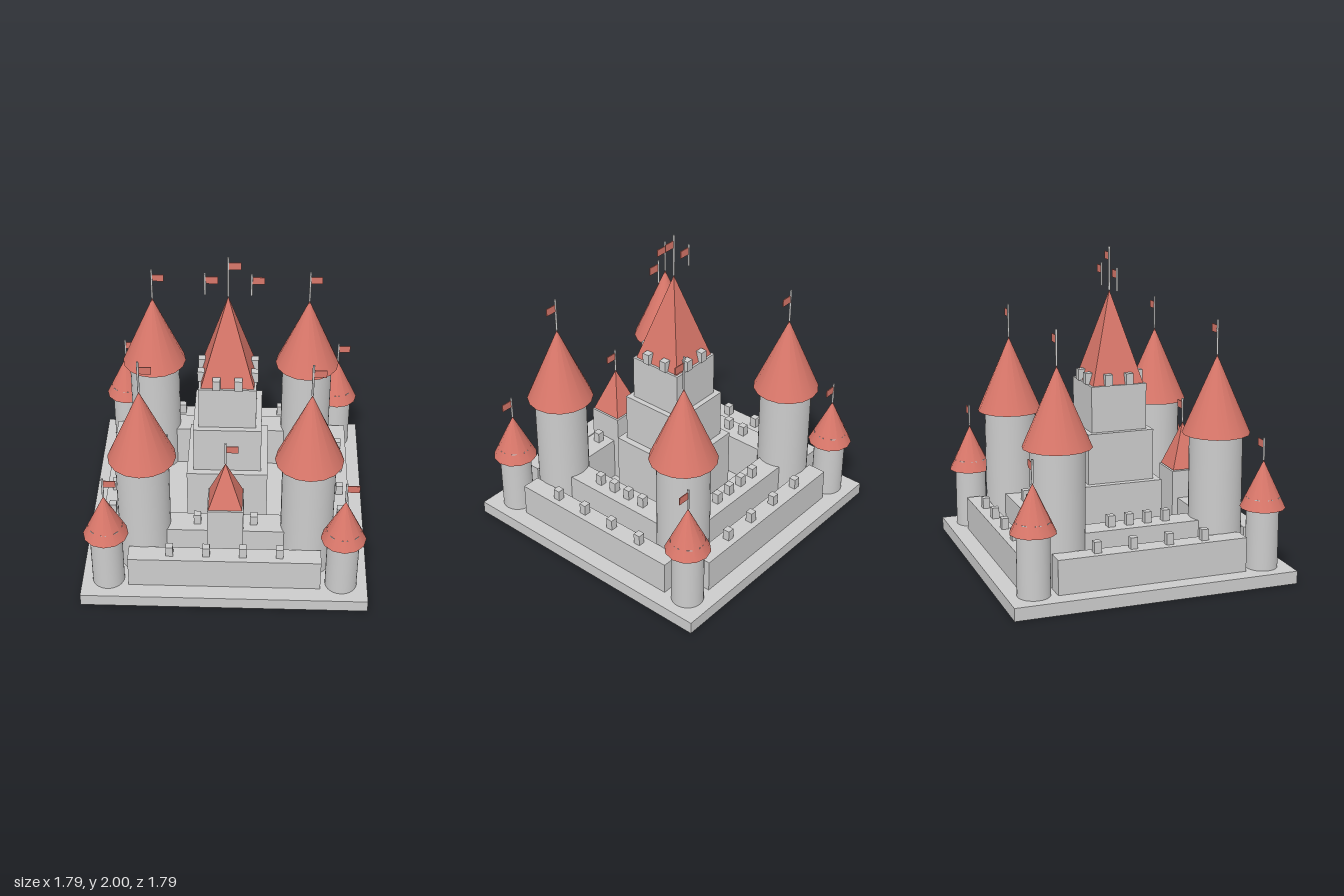
import * as THREE from 'three';

const stone = new THREE.MeshStandardMaterial({ color: 0xcccccc });
const red = new THREE.MeshStandardMaterial({ color: 0xd9776a });
const redFlat = new THREE.MeshStandardMaterial({ color: 0xd9776a, flatShading: true });

function add(parent, name, geometry, material, x, y, z) {
  const mesh = new THREE.Mesh(geometry, material);
  mesh.name = name;
  mesh.position.set(x, y, z);
  parent.add(mesh);
  return mesh;
}

// Box standing on y0 and reaching y1
function block(parent, name, w, d, y0, y1, x = 0, z = 0) {
  return add(parent, name, new THREE.BoxGeometry(w, y1 - y0, d), stone, x, (y0 + y1) / 2, z);
}

// Pole with a pennant pointing to +x
function flag(parent, x, z, y0, y1) {
  add(parent, 'flagPole', new THREE.CylinderGeometry(0.007, 0.007, y1 - y0, 8), stone, x, (y0 + y1) / 2, z);
  add(parent, 'flag', new THREE.BoxGeometry(0.075, 0.048, 0.006), red, x + 0.041, y1 - 0.06 * Math.min(1, (y1 - y0) / 0.2), z);
}

// Round tower with a conical roof and a ring of merlons hidden beneath its edge
function roundTower(parent, name, x, z, r, top, roofR, apex, flagTop, turn, sides) {
  const tower = new THREE.Group();
  tower.name = name;
  add(tower, 'towerShaft', new THREE.CylinderGeometry(r, r, top - 0.08, 32), stone, 0, (top + 0.08) / 2, 0);
  add(tower, 'towerRoof', new THREE.ConeGeometry(roofR, apex - top, sides), red, 0, (top + apex) / 2, 0);
  for (let i = 0; i < 8; i++) {
    const a = turn + i * Math.PI / 4;
    const m = block(tower, 'towerMerlon', 0.035, 0.035, top, top + 0.07, Math.sin(a) * (r - 0.012), Math.cos(a) * (r - 0.012));
    m.rotation.y = a;
  }
  flag(tower, 0, 0, apex, flagTop);
  tower.position.set(x, 0, z);
  parent.add(tower);
}

// Straight wall with merlons, turned to one of the four sides
function wall(parent, name, side, length, depth, dist, top, merlons, size) {
  const g = new THREE.Group();
  g.name = name;
  block(g, 'wallBody', length, depth, 0.08, top, 0, dist);
  for (const x of merlons) block(g, 'wallMerlon', size, size, top, top + 0.07, x, dist);
  g.rotation.y = side * Math.PI / 2;
  parent.add(g);
}

function pyramidRoof(parent, name, half, y0, y1, z) {
  const geo = new THREE.ConeGeometry(half * Math.SQRT2, y1 - y0, 4).rotateY(Math.PI / 4);
  add(parent, name, geo, redFlat, 0, (y0 + y1) / 2, z);
}

export function createModel() {
  const castle = new THREE.Group();
  castle.name = 'castle';

  block(castle, 'base', 1.79, 1.79, 0, 0.08);

  // Two rings of walls
  for (let side = 0; side < 4; side++) {
    wall(castle, 'outerWall', side, 1.2, 0.12, 0.73, 0.295, [-0.342, -0.114, 0.114, 0.342], 0.045);
    wall(castle, 'innerWall', side, 0.8, 0.16, 0.51, 0.37, [-0.177, -0.059, 0.059, 0.177], 0.045);
  }

  // Corner towers of both rings
  for (const sx of [-1, 1]) for (const sz of [-1, 1]) {
    roundTower(castle, 'outerTower', sx * 0.73, sz * 0.73, 0.1, 0.46, 0.14, 0.755, 0.895, 0, 12);
    roundTower(castle, 'innerTower', sx * 0.51, sz * 0.51, 0.165, 0.895, 0.21, 1.38, 1.595, Math.PI / 8, 16);
  }

  // Gatehouse
  const gate = new THREE.Group();
  gate.name = 'gatehouse';
  block(gate, 'gateTower', 0.225, 0.225, 0.08, 0.55, 0, 0.505);
  pyramidRoof(gate, 'gateRoof', 0.105, 0.555, 0.845, 0.505);
  flag(gate, 0, 0.505, 0.845, 1.0);
  castle.add(gate);

  // Stepped keep
  const keep = new THREE.Group();
  keep.name = 'keep';
  block(keep, 'keepLower', 0.515, 0.515, 0.08, 0.55);
  block(keep, 'keepMiddle', 0.43, 0.43, 0.55, 0.87);
  block(keep, 'keepUpper', 0.36, 0.36, 0.87, 1.16);
  pyramidRoof(keep, 'keepRoof', 0.165, 1.16, 1.73, 0);
  for (const s of [-1, 1]) for (const t of [-0.068, 0.068]) {
    block(keep, 'keepMerlon', 0.048, 0.048, 1.16, 1.23, t, s * 0.165);
    block(keep, 'keepMerlon', 0.048, 0.048, 1.16, 1.23, s * 0.165, t);
  }
  flag(keep, 0, 0, 1.73, 2.0);
  for (const x of [-0.14, 0.14]) flag(keep, x, 0, 1.74, 1.885);
  castle.add(keep);

  return castle;
}
